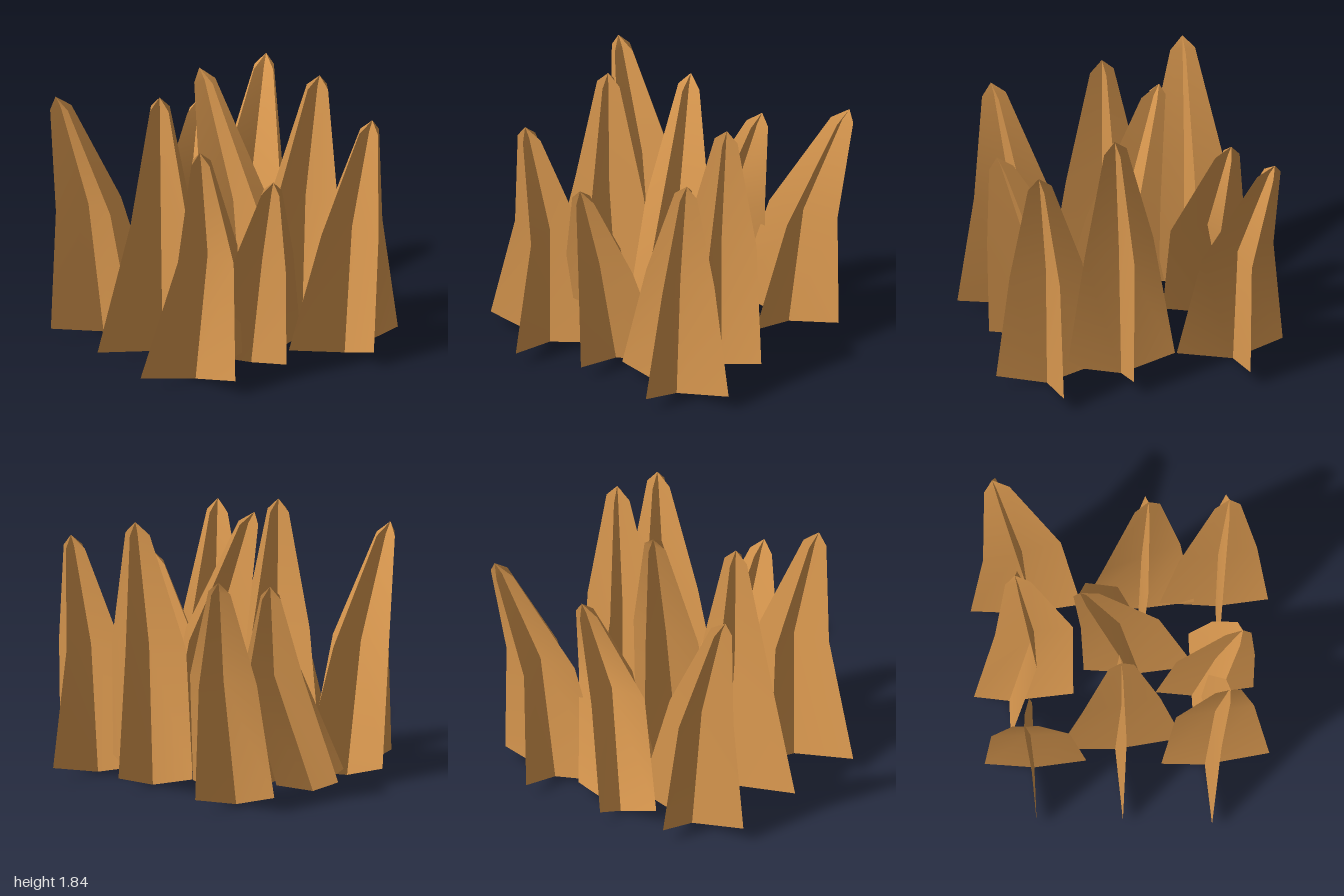
import * as THREE from 'three';

// One blade from a pointed foot up to a narrow tip.
// Each row is three points: left, centre, right; the last row is the single tip.
function bladeGeometry(rows, tip) {
  const index = [];
  const tipIndex = rows.length * 3;
  rows.forEach((row, r) => {
    for (let c = 0; c < 2; c++) {
      const a = r * 3 + c;
      if (r === rows.length - 1) index.push(a, a + 1, tipIndex);
      else index.push(a, a + 1, a + 4, a, a + 4, a + 3);
    }
  });
  const g = new THREE.BufferGeometry();
  g.setAttribute('position', new THREE.Float32BufferAttribute([...rows.flat(2), ...tip], 3));
  g.setIndex(index);
  g.computeVertexNormals();
  return g;
}

// A tuft is two crossed blades that share one bent centre line.
// yaw turns the foot; twist turns the upper part of the wide and the cross blade.
function makeTuft({ base, mid, tip, height, xEnds, zEnds, yaw = 0, twist = [0, 0] }, material) {
  const tuft = new THREE.Group();
  tuft.name = 'grassTuft';
  const midY = 0.15 + 0.45 * height;
  const shoulder = [0, 1].map((i) => THREE.MathUtils.lerp(mid[i], tip[i], 0.84));

  const blade = (name, axis, ends) => {
    const row = ([x, z], yCentre, yEdge, from, to, turn) => {
      const [dx, dz] = axis === 0 ? [1, -turn] : [turn, 1];
      return [from, 0, to].map((s) => [x + s * dx, s === 0 ? yCentre : yEdge, z + s * dz]);
    };
    const rows = [
      row(base, 0.01, 0.11, ends[0] - base[axis], ends[1] - base[axis], yaw),
      row(mid, midY, midY, -0.26, 0.26, twist[axis]),
      row(shoulder, height - 0.08, height - 0.08, -0.085, 0.085, twist[axis]),
    ];
    const mesh = new THREE.Mesh(bladeGeometry(rows, [tip[0], height, tip[1]]), material);
    mesh.name = name;
    tuft.add(mesh);
  };
  blade('wideBlade', 0, xEnds);
  blade('crossBlade', 1, zEnds);
  return tuft;
}

export function createModel() {
  const group = new THREE.Group();
  group.name = 'dryGrassPatch';
  const dryGrass = new THREE.MeshStandardMaterial({ color: 0xdc9a50, side: THREE.DoubleSide });
  dryGrass.name = 'dryGrass';

  // Nine tufts in three rows: centre-line points are [x, z], ends are the foot corners
  const tufts = [
    // front row
    { base: [-0.54, 0.53], mid: [-0.49, 0.6], tip: [-0.62, 0.7], height: 1.66,
      xEnds: [-1, -0.15], zEnds: [0.24, 0.96], yaw: 0.07, twist: [0.13, 0.13] },
    { base: [-0.05, 0.46], mid: [-0.07, 0.62], tip: [-0.1, 0.8], height: 1.38,
      xEnds: [-0.35, 0.35], zEnds: [0.22, 0.87], yaw: 0.02, twist: [0.06, 0.06] },
    { base: [0.575, 0.64], mid: [0.62, 0.66], tip: [0.73, 0.74], height: 1.64,
      xEnds: [0.13, 1], zEnds: [0.27, 0.99], twist: [0.1, 0.15] },
    // middle row
    { base: [-0.41, -0.06], mid: [-0.45, -0.02], tip: [-0.46, -0.02], height: 1.81,
      xEnds: [-0.95, -0.06], zEnds: [-0.44, 0.39], yaw: 0.06, twist: [0.1, 0.16] },
    { base: [0.12, 0.12], mid: [0.12, -0.01], tip: [0.03, -0.28], height: 1.85,
      xEnds: [-0.21, 0.46], zEnds: [-0.25, 0.49], twist: [0.02, 0.08] },
    { base: [0.575, 0.13], mid: [0.59, 0.15], tip: [0.67, 0.2], height: 1.81,
      xEnds: [0.2, 0.9], zEnds: [-0.24, 0.5], twist: [0.14, 0.33] },
    // back row
    { base: [-0.52, -0.6], mid: [-0.62, -0.63], tip: [-0.85, -0.68], height: 1.7,
      xEnds: [-0.94, -0.1], zEnds: [-0.93, -0.255] },
    { base: [-0.045, -0.75], mid: [0.15, -0.58], tip: [0.31, -0.7], height: 1.46,
      xEnds: [-0.335, 0.3], zEnds: [-0.985, -0.325], twist: [0.04, 0.08] },
    { base: [0.57, -0.64], mid: [0.69, -0.64], tip: [0.93, -0.83], height: 1.62,
      xEnds: [0.15, 0.97], zEnds: [-0.985, -0.25], yaw: 0.03, twist: [0.1, 0.2] },
  ];
  for (const t of tufts) group.add(makeTuft(t, dryGrass));
  return group;
}
